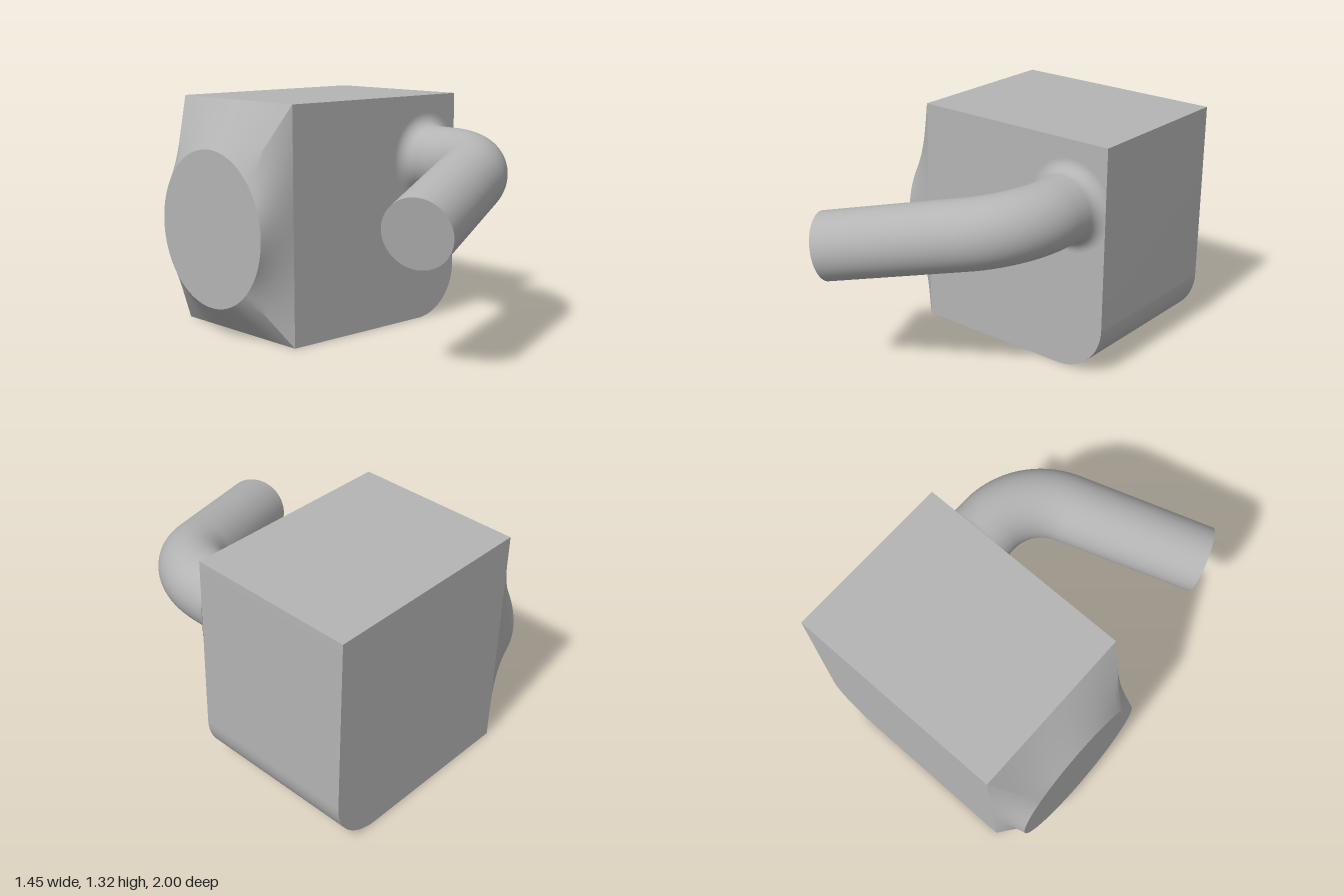
import * as THREE from 'three';
import { toCreasedNormals } from 'three/addons/utils/BufferGeometryUtils.js';

const FRONT = -0.04, BACK = -1, RIGHT = -0.53, LEFT = 0.72, TOP = 1.32;

// Block with one rounded lower edge
function blockGeometry() {
  const r = 0.29;
  const s = new THREE.Shape();
  s.moveTo(RIGHT, 0);
  s.lineTo(LEFT - r, 0);
  s.absarc(LEFT - r, r, r, -Math.PI / 2, 0, false);
  s.lineTo(LEFT, TOP);
  s.lineTo(RIGHT, TOP);
  s.closePath();
  const g = new THREE.ExtrudeGeometry(s, { depth: FRONT - BACK, bevelEnabled: false, curveSegments: 24 });
  g.translate(0, 0, BACK);
  return toCreasedNormals(g, 0.5);
}

// Ruled transition from the rectangular side of the block to a round end
function transitionGeometry(endX, cy, cz, radius) {
  const n = 96, rows = 8, pos = [], index = [];
  const midY = TOP / 2, midZ = (FRONT + BACK) / 2, halfZ = (FRONT - BACK) / 2;
  for (let j = 0; j <= rows; j++) {
    const u = j / rows;
    for (let i = 0; i < n; i++) {
      const a = (i / n) * Math.PI * 2, c = Math.cos(a), s = Math.sin(a);
      const m = Math.max(Math.abs(c), Math.abs(s));
      pos.push(
        THREE.MathUtils.lerp(RIGHT, endX, u),
        THREE.MathUtils.lerp(midY + (s / m) * midY, cy + s * radius, u),
        THREE.MathUtils.lerp(midZ + (c / m) * halfZ, cz + c * radius, u)
      );
      if (j < rows) {
        const p = j * n + i, q = j * n + (i + 1) % n;
        index.push(p, q, p + n, q, q + n, p + n);
      }
    }
  }
  const g = new THREE.BufferGeometry();
  g.setAttribute('position', new THREE.Float32BufferAttribute(pos, 3));
  g.setIndex(index);
  return toCreasedNormals(g, 0.5);
}

export function createModel() {
  const model = new THREE.Group();
  const grey = new THREE.MeshStandardMaterial({ color: 0xb4b4b4 });
  grey.name = 'plainGrey';
  const add = (name, geometry) => {
    const mesh = new THREE.Mesh(geometry, grey);
    mesh.name = name;
    model.add(mesh);
    return mesh;
  };

  add('block', blockGeometry());

  // Round end on the right side
  const endX = -0.725, cy = 0.615, cz = -0.52, endR = 0.443;
  add('transition', transitionGeometry(endX, cy, cz, endR));
  add('transitionEnd', new THREE.CircleGeometry(endR, 96).rotateY(-Math.PI / 2).translate(endX, cy, cz));

  // Bent pipe: straight, arc, straight
  const pipeR = 0.19, bendR = 0.41;
  const start = new THREE.Vector3(0.49, 0.953, FRONT);
  const corner = new THREE.Vector3(0.49, 0.953, 0.405);
  const end = new THREE.Vector3(-0.475, 0.74, 0.82);
  const dirIn = new THREE.Vector3(0, 0, 1);
  const dirOut = end.clone().sub(corner).normalize();
  const angle = dirIn.angleTo(dirOut);
  const tangent = bendR * Math.tan(angle / 2);
  const handle = (4 / 3) * Math.tan(angle / 4) * bendR;
  const bendStart = corner.clone().addScaledVector(dirIn, -tangent);
  const bendEnd = corner.clone().addScaledVector(dirOut, tangent);
  const path = new THREE.CurvePath();
  path.add(new THREE.LineCurve3(start, bendStart));
  path.add(new THREE.CubicBezierCurve3(
    bendStart,
    bendStart.clone().addScaledVector(dirIn, handle),
    bendEnd.clone().addScaledVector(dirOut, -handle),
    bendEnd
  ));
  path.add(new THREE.LineCurve3(bendEnd, end));
  add('pipe', new THREE.TubeGeometry(path, 120, pipeR, 64, false));

  const cap = add('pipeEnd', new THREE.CircleGeometry(pipeR, 64));
  cap.position.copy(end);
  cap.quaternion.setFromUnitVectors(dirIn, dirOut);

  // Fillet where the pipe meets the block, trimmed at the block's side
  const f = 0.07, profile = [];
  for (let i = 0; i <= 10; i++) {
    const a = (i / 10) * Math.PI / 2;
    profile.push(new THREE.Vector2(pipeR + f - f * Math.sin(a), f - f * Math.cos(a)));
  }
  const fillet = new THREE.LatheGeometry(profile, 96).rotateX(Math.PI / 2).translate(start.x, start.y, FRONT);
  const p = fillet.attributes.position;
  for (let i = 0; i < p.count; i++) p.setX(i, Math.min(p.getX(i), LEFT));
  add('pipeFillet', fillet);

  return model;
}
